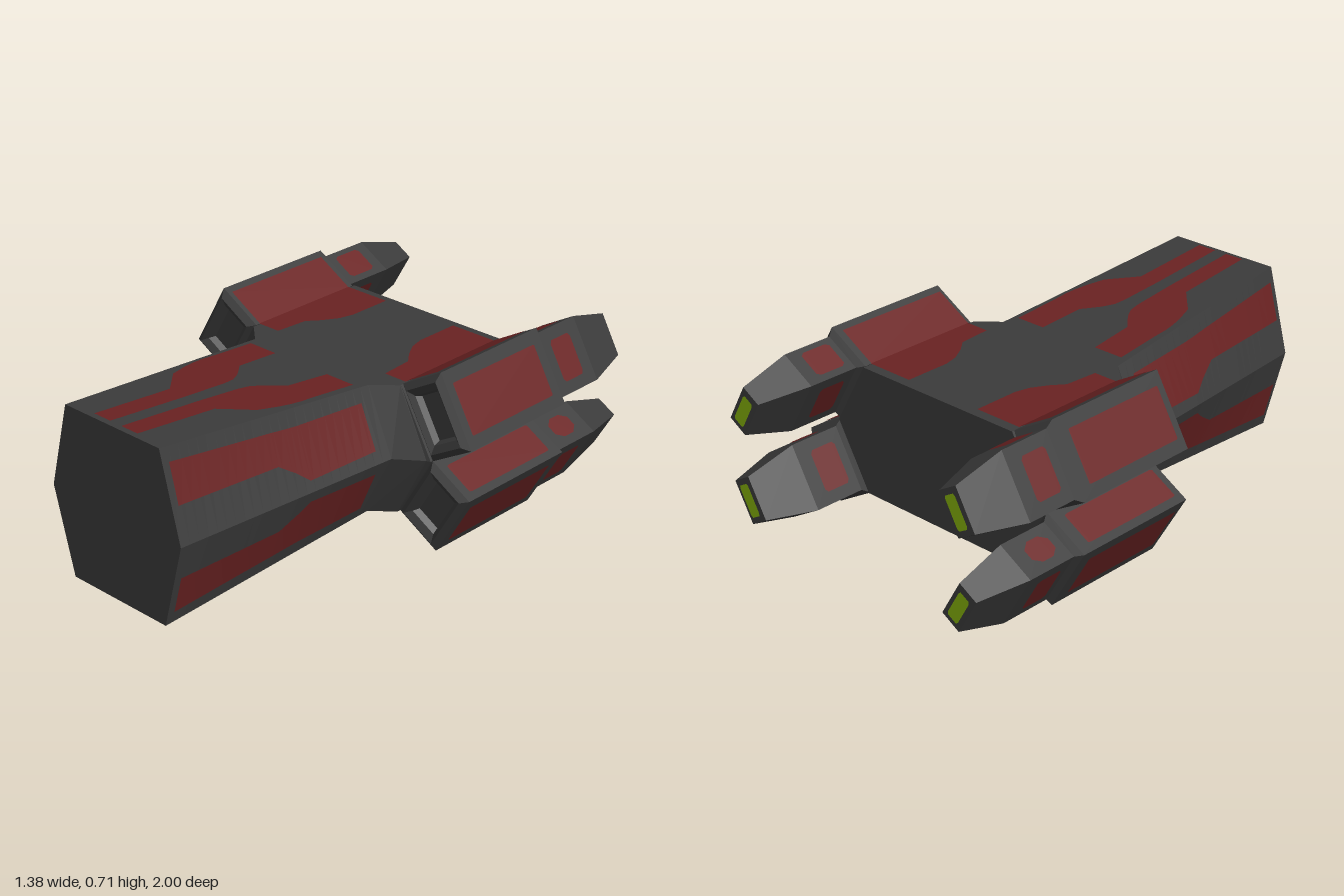
import * as THREE from 'three';

const hull = new THREE.MeshStandardMaterial({ color: 0x3b3b3b });
hull.name = 'darkGreyHull';
const red = new THREE.MeshStandardMaterial({ color: 0x6a2222 });
red.name = 'darkRedPaint';
const green = new THREE.MeshStandardMaterial({ color: 0x86b30a });
green.name = 'greenGlow';

const MID = 0.36; // height of the horizontal symmetry plane
const V = (x, y, z) => new THREE.Vector3(x, y, z);

function meshFrom(points, material, name) {
  const geometry = new THREE.BufferGeometry().setFromPoints(points);
  geometry.computeVertexNormals(); // unshared corners keep every face flat
  const mesh = new THREE.Mesh(geometry, material);
  mesh.name = name;
  return mesh;
}

// Skin closed rings (anticlockwise seen from +z, ordered front to back) and cap both ends
function loft(rings, material, name) {
  const out = [];
  const n = rings[0].length;
  for (let s = 0; s < rings.length - 1; s++) {
    const f = rings[s], b = rings[s + 1];
    for (let i = 0; i < n; i++) {
      const j = (i + 1) % n;
      out.push(f[i], b[i], b[j], f[i], b[j], f[j]);
    }
  }
  const first = rings[0], last = rings[rings.length - 1];
  for (let i = 1; i < n - 1; i++) {
    out.push(first[0], first[i], first[i + 1], last[0], last[i + 1], last[i]);
  }
  return meshFrom(out, material, name);
}

// Painted patch on the quad a-b (u = 0) to c-d (u = 1); rows are [u, v0, v1].
// It is lifted slightly away from the given inner point.
function patch(quad, rows, inner, material, name, steps = 1) {
  const [a, b, c, d] = quad;
  const lo = rows[0][0], hi = rows[rows.length - 1][0];
  const us = rows.map(r => r[0]);
  for (let i = 1; i < steps; i++) if (i / steps > lo && i / steps < hi) us.push(i / steps);
  us.sort((p, q) => p - q);
  const at = (u, v) => a.clone().lerp(b, v).lerp(c.clone().lerp(d, v), u);
  const normalAt = (u, v) => {
    const nrm = at(u, 1).sub(at(u, 0)).cross(at(1, v).sub(at(0, v))).normalize();
    return nrm;
  };
  const outward = normalAt(0.5, 0.5).dot(at(0.5, 0.5).sub(inner)) > 0;
  const lifted = (u, v) => at(u, v).addScaledVector(normalAt(u, v), outward ? 0.004 : -0.004);
  const edges = us.map(u => {
    let k = 0;
    while (k < rows.length - 2 && u > rows[k + 1][0]) k++;
    const r = rows[k], q = rows[k + 1];
    const t = (u - r[0]) / (q[0] - r[0]);
    return [lifted(u, r[1] + (q[1] - r[1]) * t), lifted(u, r[2] + (q[2] - r[2]) * t)];
  });
  const out = [];
  for (let i = 0; i < edges.length - 1; i++) {
    const [p, q] = edges[i], [r, s] = edges[i + 1];
    if (outward) out.push(p, q, s, p, s, r);
    else out.push(p, s, q, p, r, s);
  }
  return meshFrom(out, material, name);
}

// Rectangle with clipped corners, as patch rows
const clipped = (u0, u1, v0, v1, cut) => [
  [u0, v0 + cut, v1 - cut], [u0 + cut, v0, v1], [u1 - cut, v0, v1], [u1, v0 + cut, v1 - cut]];

// Six-sided hull ring: half width at the edge, half width in the middle, half height
const hexRing = (top, mid, h, z) => [
  V(mid, MID, z), V(top, MID + h, z), V(-top, MID + h, z),
  V(-mid, MID, z), V(-top, MID - h, z), V(top, MID - h, z)];

const SLICES = 24, Z0 = 1, Z1 = 0.05;
const noseU = z => (Z0 - z) / (Z0 - Z1);
const noseTop = u => 0.235 + 0.05 * u;
const noseMid = u => 0.325 + 0.075 * u;
const noseH = u => 0.338 - 0.083 * u;

function buildHull() {
  const rings = [];
  for (let i = 0; i <= SLICES; i++) {
    const u = i / SLICES;
    rings.push(hexRing(noseTop(u), noseMid(u), noseH(u), Z0 + (Z1 - Z0) * u));
  }
  rings.push(hexRing(0.369, 0.5, 0.255, -0.025));
  rings.push(hexRing(0.369, 0.516, 0.255, -0.03));
  rings.push(hexRing(0.369, 0.516, 0.255, -0.58));
  return loft(rings, hull, 'hull');
}

// Paint on the long nose and the rear deck
function addHullPaint(group) {
  const inner = V(0, MID, 0.2);
  const side = [[0.975, 0.137, 0.285], [0.54, 0.125, 0.24], [0.47, 0.08, 0.232],
    [0.42, 0.04, 0.227], [0.11, 0.045, 0.21]]
    .map(([z, y0, y1]) => { const u = noseU(z); return [u, y0 / noseH(u), y1 / noseH(u)]; });
  const toTop = ([z, x0, x1]) => { const u = noseU(z); return [u, x0 / noseTop(u), x1 / noseTop(u)]; };
  const top = [[0.98, 0.028, 0.108], [0.635, 0.028, 0.113], [0.53, 0.031, 0.21], [0.45, 0.033, 0.235],
    [0.4, 0.04, 0.245], [0.355, 0.065, 0.25], [0.29, 0.12, 0.25], [0.1, 0.13, 0.257]].map(toTop);
  const belly = [[0.98, 0.028, 0.108], [0.62, 0.028, 0.11]].map(toTop);
  const deck = [[0.055, 0.27, 0.369], [0.19, 0.26, 0.369], [0.24, 0.22, 0.369],
    [0.3, 0.185, 0.369], [0.36, 0.17, 0.369], [0.545, 0.17, 0.369]]
    .map(([z, x0, x1]) => [z / 0.58, x0 / 0.369, x1 / 0.369]);
  for (const sx of [1, -1]) {
    for (const sy of [1, -1]) {
      const edge = u => V(sx * noseTop(u), MID + sy * noseH(u), u ? Z1 : Z0);
      const mid = u => V(sx * noseMid(u), MID, u ? Z1 : Z0);
      const centre = u => V(0, MID + sy * noseH(u), u ? Z1 : Z0);
      group.add(patch([mid(0), edge(0), mid(1), edge(1)], side, inner, red, 'noseSidePaint', SLICES));
      group.add(patch([centre(0), edge(0), centre(1), edge(1)], sy > 0 ? top : belly, inner, red,
        sy > 0 ? 'noseTopPaint' : 'noseBellyPaint', SLICES));
    }
    const y = MID + 0.255;
    group.add(patch([V(0, y, 0), V(sx * 0.369, y, 0), V(0, y, -0.58), V(sx * 0.369, y, -0.58)],
      deck, inner, red, 'deckPaint'));
  }
}

// One engine pod: recessed intake, casing, tapered nozzle; sx and sy mirror it
function buildPod(sx, sy) {
  const pod = new THREE.Group();
  pod.name = (sy > 0 ? 'upper' : 'lower') + (sx > 0 ? 'Left' : 'Right') + 'Engine';
  const corners = [[1, 1], [-1, 1], [-1, -1], [1, -1]];
  // half sizes a and b along the tilted long and short axes of the section
  const ring = (a, b, z) => corners.map(([i, j]) => V(
    sx * (0.53 + 0.5 * a * i + 0.866 * b * j),
    MID + sy * (0.178 - 0.866 * a * i + 0.5 * b * j), z));
  const wound = r => (sx * sy < 0 ? r.slice().reverse() : r);
  const casing = [ring(0.148, 0.1, -0.04), ring(0.148, 0.1, -0.57)];
  const nozzle = [ring(0.127, 0.0795, -0.59), ring(0.127, 0.0795, -0.8)];
  const tip = ring(0.0845, 0.0436, -1);
  pod.add(loft([ring(0.085, 0.05, -0.06), ring(0.095, 0.058, -0.035), ring(0.123, 0.077, -0.02),
    ...casing, nozzle[0]].map(wound), hull, 'engineCasing'));
  pod.add(loft([...nozzle, tip].map(wound), hull, 'nozzle'));

  // Faces: 0 outer, 1 far from the middle plane, 2 inner, 3 near the middle plane
  const paint = (rings, face, rows, name) => {
    const j = (face + 1) % 4;
    const [f, b] = rings;
    const inner = V(sx * 0.53, MID + sy * 0.178, f[0].z);
    pod.add(patch([f[face], f[j], b[face], b[j]], rows, inner, red, name));
  };
  paint(casing, 0, clipped(0.06, 0.91, 0.16, 0.83, 0.01), 'casingPaint');
  paint(casing, 1, [[0.03, 0.15, sy > 0 ? 1 : 0.85], [0.95, 0.15, sy > 0 ? 1 : 0.85]], 'casingPaint');
  paint(casing, 3, clipped(0.06, 0.91, 0.2, 0.85, 0.02), 'casingPaint');
  paint(nozzle, 0, clipped(0.18, 0.72, 0.18, 0.82, 0.05), 'nozzlePaint');
  paint(nozzle, 1, clipped(0.14, 0.76, 0.15, 0.84, 0.07), 'nozzlePaint');
  paint(nozzle, 2, clipped(0.18, 0.72, 0.18, 0.82, 0.05), 'nozzlePaint');
  paint(nozzle, 3, clipped(0.18, 0.72, 0.22, 0.78, 0.15), 'nozzlePaint');

  // Glowing exhaust on the nozzle tip
  pod.add(patch([tip[0], tip[3], tip[1], tip[2]], clipped(0.13, 0.87, 0.2, 0.8, 0.06),
    V(0, MID, 0), green, 'exhaustGlow'));
  return pod;
}

export function createModel() {
  const model = new THREE.Group();
  model.name = 'spaceship';
  model.add(buildHull());
  addHullPaint(model);
  for (const sx of [1, -1]) for (const sy of [1, -1]) model.add(buildPod(sx, sy));
  return model;
}
